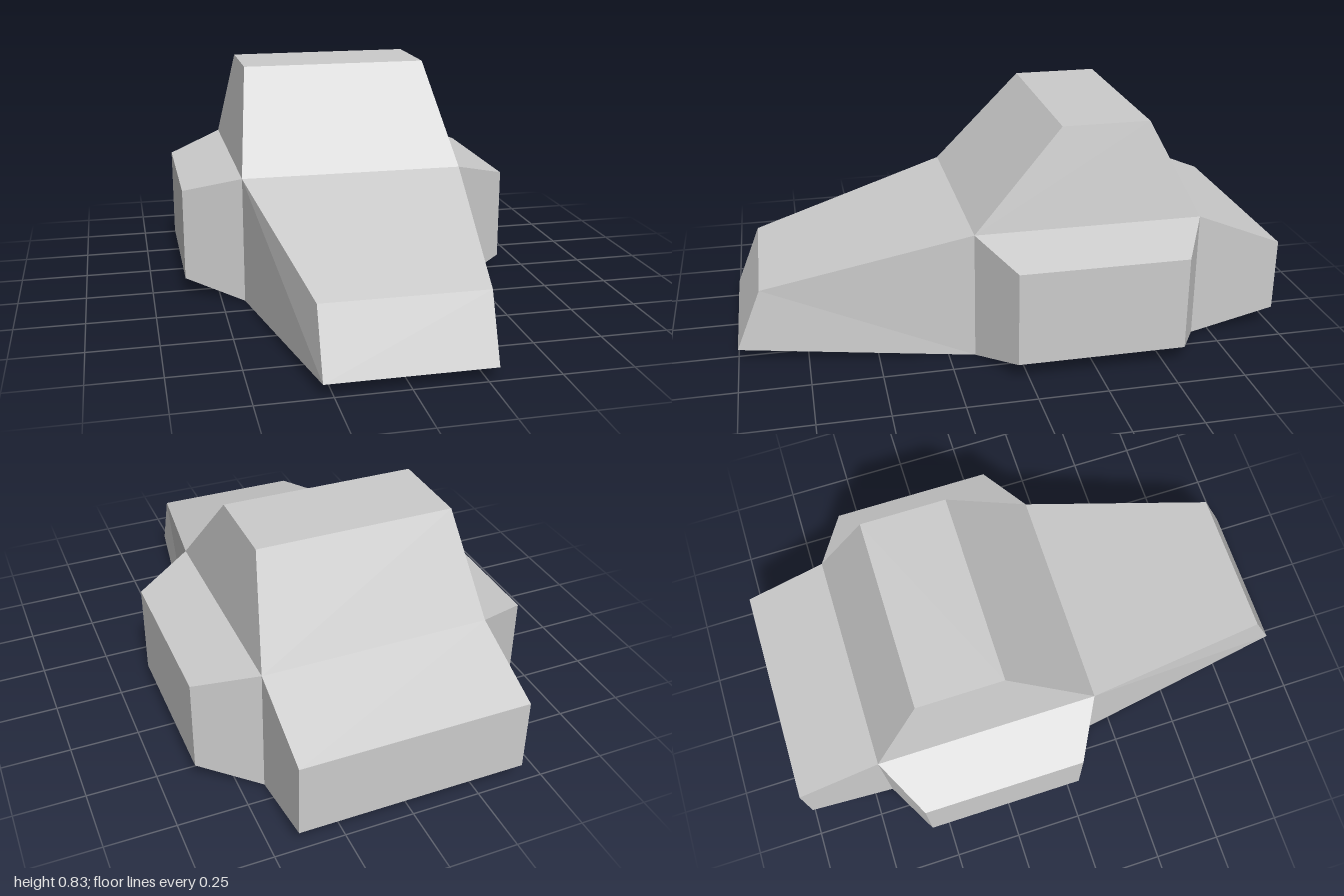
import * as THREE from 'three';

// Core block that every section grows out of
const X = 0.415, H = 0.476, F = 0.155, B = -0.68;

// Flat-shaded faces from quads whose corners run counter-clockwise from outside
function quadMesh(name, quads, material) {
  const points = quads.flatMap(([a, b, c, d]) => [a, b, c, a, c, d]).flat();
  const geometry = new THREE.BufferGeometry();
  geometry.setAttribute('position', new THREE.Float32BufferAttribute(points, 3));
  geometry.computeVertexNormals();
  const mesh = new THREE.Mesh(geometry, material);
  mesh.name = name;
  return mesh;
}

// Tapered section: four walls from the base ring to the end ring, plus the end cap
function taper(name, base, end, material) {
  const walls = base.map((p, i) => {
    const j = (i + 1) % 4;
    return [p, base[j], end[j], end[i]];
  });
  return quadMesh(name, [...walls, end], material);
}

export function createModel() {
  const group = new THREE.Group();
  group.name = 'lowPolyCar';
  const grey = new THREE.MeshStandardMaterial({ color: 0xcccccc });
  grey.name = 'light grey';

  // Sloping nose
  group.add(taper('nose',
    [[-X, 0, F], [X, 0, F], [X, H, F], [-X, H, F]],
    [[-0.285, 0.046, 1], [0.285, 0.046, 1], [0.285, 0.274, 0.908], [-0.285, 0.274, 0.908]],
    grey));

  // Tail
  group.add(taper('tail',
    [[X, 0, B], [-X, 0, B], [-X, H, B], [X, H, B]],
    [[X, 0.073, -1], [-X, 0.073, -1], [-X, 0.345, -1], [X, 0.345, -1]],
    grey));

  // Cabin
  group.add(taper('cabin',
    [[-X, H, F], [X, H, F], [X, H, B], [-X, H, B]],
    [[-0.357, 0.835, -0.17], [0.357, 0.835, -0.17], [0.357, 0.835, -0.49], [-0.357, 0.835, -0.49]],
    grey));

  // Side pods, one per side
  for (const s of [1, -1]) {
    const [near, far] = s > 0 ? [F, B] : [B, F];
    const [nearEnd, farEnd] = s > 0 ? [0.042, -0.567] : [-0.567, 0.042];
    group.add(taper(s > 0 ? 'leftSidePod' : 'rightSidePod',
      [[s * X, 0, near], [s * X, 0, far], [s * X, H, far], [s * X, H, near]],
      [[s * 0.627, 0.066, nearEnd], [s * 0.627, 0.066, farEnd],
        [s * 0.627, 0.412, farEnd], [s * 0.627, 0.412, nearEnd]],
      grey));
  }

  // Underside of the core
  group.add(quadMesh('floor', [[[-X, 0, B], [X, 0, B], [X, 0, F], [-X, 0, F]]], grey));

  return group;
}
